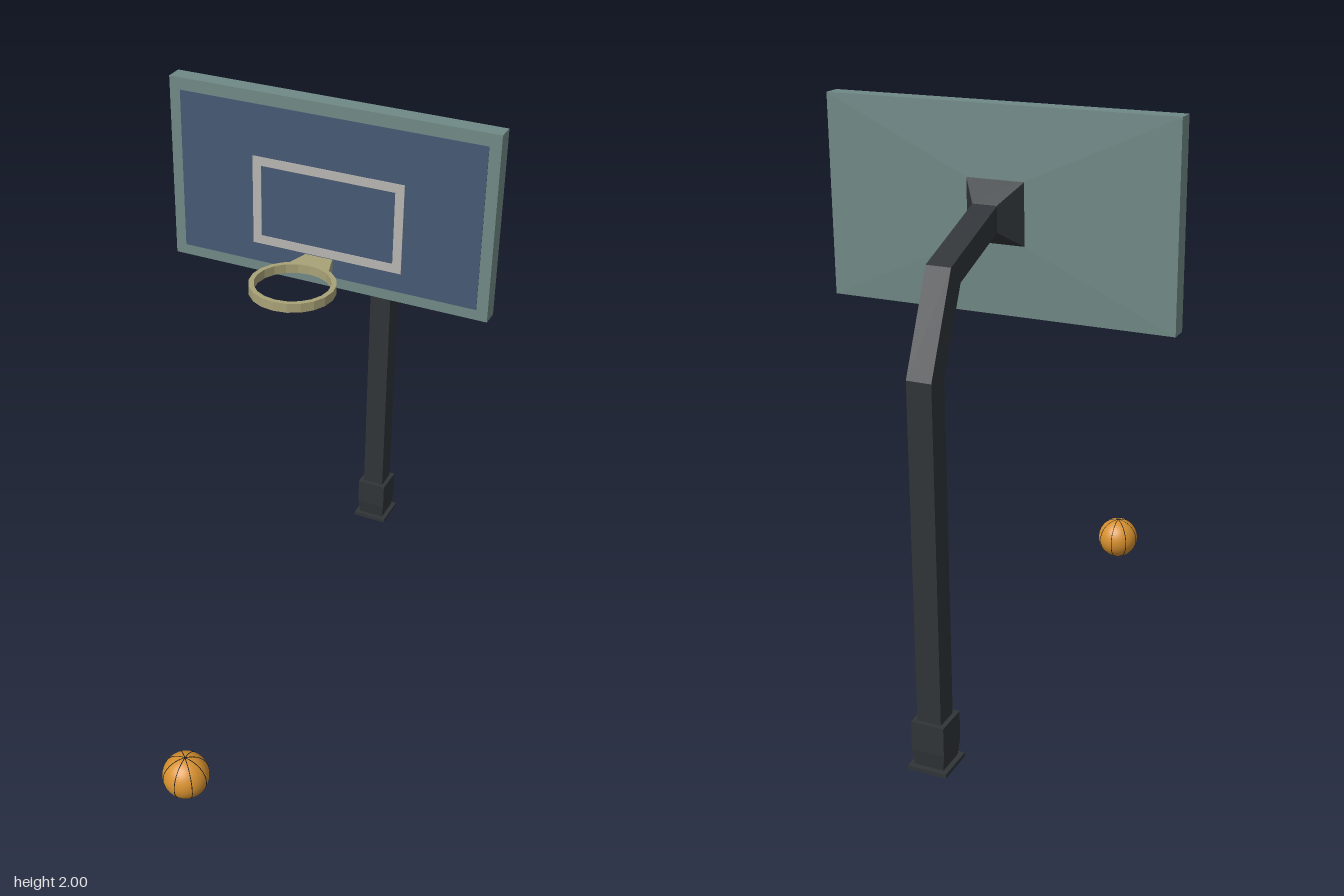
import * as THREE from 'three';

const mat = (color) => new THREE.MeshStandardMaterial({ color });
const frameMat = mat(0x708986), glassMat = mat(0x465974), lineMat = mat(0xb8b5b2);
const steelMat = mat(0x303438), rimMat = mat(0xa9a277), ballMat = mat(0xd6902f), seamMat = mat(0x1c1712);

// Four-cornered cross-section: x range plus two [y, z] edges (lower/inner, upper/outer)
const section = (x0, x1, a, b) => [[x0, ...a], [x0, ...b], [x1, ...b], [x1, ...a]];
const upright = (x0, x1, y0, y1, z) => section(x0, x1, [y0, z], [y1, z]);
const level = (x, half, y, z) => section(x - half, x + half, [y, z + half], [y, z - half]);

// Flat-sided solid through a list of cross-sections, capped at both ends
function loft(sections) {
  const pos = [];
  const quad = (a, b, c, d) => pos.push(...a, ...b, ...c, ...a, ...c, ...d);
  for (let s = 0; s < sections.length - 1; s++) {
    const a = sections[s], b = sections[s + 1];
    for (let i = 0; i < 4; i++) quad(a[i], a[(i + 1) % 4], b[(i + 1) % 4], b[i]);
  }
  quad(...[...sections[0]].reverse());
  quad(...sections[sections.length - 1]);
  const geo = new THREE.BufferGeometry();
  geo.setAttribute('position', new THREE.Float32BufferAttribute(pos, 3));
  geo.computeVertexNormals();
  return geo;
}

function add(parent, name, geo, material) {
  const mesh = new THREE.Mesh(geo, material);
  mesh.name = name;
  parent.add(mesh);
  return mesh;
}

function rectangle(PathType, x0, x1, y0, y1) {
  return new PathType([[x0, y0], [x1, y0], [x1, y1], [x0, y1]].map((p) => new THREE.Vector2(...p)));
}

function createBackboard() {
  const board = new THREE.Group();
  board.name = 'backboard';
  // Board body, with a shallow pyramid on its back
  add(board, 'boardFrame', loft([
    upright(-0.577, 0.571, 1.357, 2, -0.288),
    upright(-0.577, 0.571, 1.357, 2, -0.348),
    upright(-0.1, 0.094, 1.58, 1.78, -0.358),
  ]), frameMat);
  // Coloured panel and the target rectangle on its face
  const panel = add(board, 'boardPanel', new THREE.BoxGeometry(1.07, 0.563, 0.004), glassMat);
  panel.position.set(-0.003, 1.676, -0.288);
  const target = rectangle(THREE.Shape, -0.272, 0.267, 1.463, 1.778);
  target.holes.push(rectangle(THREE.Path, -0.241, 0.236, 1.494, 1.747));
  const lines = add(board, 'targetRectangle',
    new THREE.ExtrudeGeometry(target, { depth: 0.004, bevelEnabled: false }), lineMat);
  lines.position.z = -0.288;
  return board;
}

function createStand() {
  const stand = new THREE.Group();
  stand.name = 'stand';
  // Flared mount behind the board
  add(stand, 'boardMount', loft([
    upright(-0.1, 0.094, 1.58, 1.78, -0.355),
    upright(-0.042, 0.037, 1.637, 1.717, -0.432),
  ]), steelMat);
  // Bent arm running into the upright pole
  const x0 = -0.043, x1 = 0.037;
  add(stand, 'poleAndArm', loft([
    upright(x0, x1, 1.637, 1.717, -0.43),
    section(x0, x1, [1.548, -0.675], [1.606, -0.732]),
    section(x0, x1, [1.302, -0.788], [1.306, -0.867]),
    section(x0, x1, [0.05, -0.788], [0.05, -0.867]),
  ]), steelMat);
  // Sleeve and foot plate
  add(stand, 'poleSleeve', loft([
    level(-0.003, 0.055, 0.207, -0.826),
    level(-0.003, 0.055, 0.11, -0.826),
    level(-0.003, 0.048, 0.05, -0.826),
  ]), steelMat);
  add(stand, 'footPlate', loft([
    level(-0.003, 0.065, 0.054, -0.826),
    level(-0.003, 0.065, 0.04, -0.826),
  ]), steelMat);
  return stand;
}

function createHoop() {
  const hoop = new THREE.Group();
  hoop.name = 'hoop';
  const cx = -0.028, cz = -0.084;
  // Flat-banded rim
  const ring = new THREE.Shape().absarc(0, 0, 0.144, 0, Math.PI * 2);
  ring.holes.push(new THREE.Path().absarc(0, 0, 0.127, 0, Math.PI * 2));
  const rim = add(hoop, 'rim',
    new THREE.ExtrudeGeometry(ring, { depth: 0.032, bevelEnabled: false, curveSegments: 10 }), rimMat);
  rim.rotation.x = -Math.PI / 2;
  rim.position.set(cx, 1.429, cz);
  // Bracket that narrows towards the board and curves down beneath
  const profile = [[-0.213, 0.071, 1.43], [-0.25, 0.059, 1.428], [-0.272, 0.053, 1.42], [-0.289, 0.049, 1.403]];
  add(hoop, 'rimBracket', loft(profile.map(([z, half, y]) => upright(cx - half, cx + half, y, 1.46, z))), rimMat);
  return hoop;
}

function createBall() {
  const ball = new THREE.Group();
  ball.name = 'ball';
  const r = 0.077;
  add(ball, 'ballSkin', new THREE.SphereGeometry(r, 32, 20), ballMat);
  // Seams meeting at the poles
  for (let i = 0; i < 4; i++) {
    const seam = add(ball, 'ballSeam', new THREE.TorusGeometry(r, 0.0014, 6, 48), seamMat);
    seam.rotation.y = (i * Math.PI) / 4;
  }
  ball.position.set(0.021, 0.0785, 0.815);
  return ball;
}

export function createModel() {
  const model = new THREE.Group();
  model.name = 'basketballHoop';
  model.add(createBackboard(), createStand(), createHoop(), createBall());
  return model;
}
